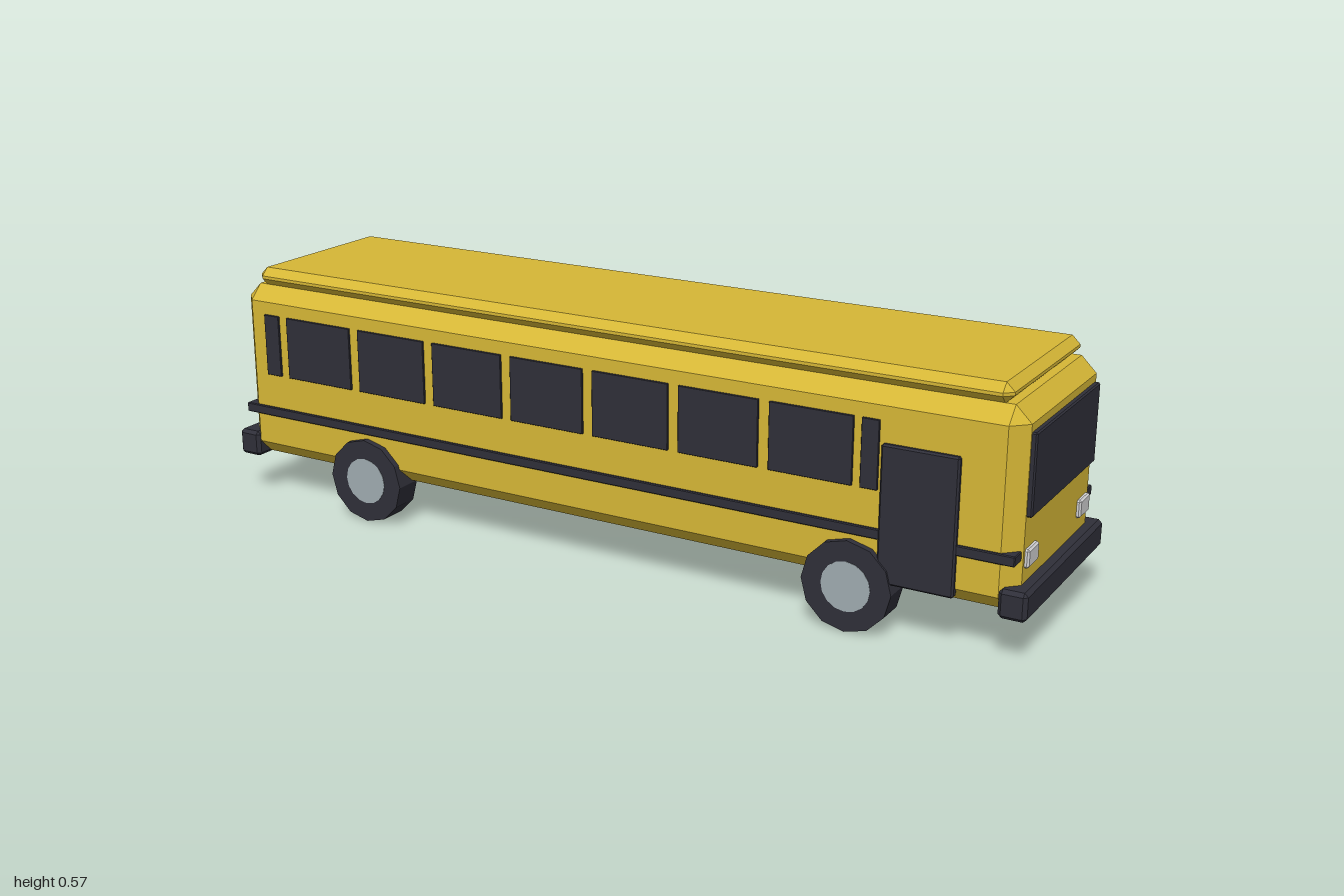
import * as THREE from 'three';
import { ConvexGeometry } from 'three/addons/geometries/ConvexGeometry.js';

const mat = (name, color) => {
  const m = new THREE.MeshStandardMaterial({ color });
  m.name = name;
  return m;
};

// Box with every edge cut off at 45 degrees, given by its min and max corners
function chamferBox(min, max, c) {
  const points = [];
  const mid = min.map((v, i) => (v + max[i]) / 2);
  const half = min.map((v, i) => (max[i] - v) / 2);
  for (const sx of [-1, 1]) for (const sy of [-1, 1]) for (const sz of [-1, 1]) {
    const s = [sx, sy, sz];
    for (let full = 0; full < 3; full++) {
      points.push(new THREE.Vector3(...s.map((sign, i) =>
        mid[i] + sign * (half[i] - (i === full ? 0 : c)))));
    }
  }
  return new ConvexGeometry(points);
}

export function createModel() {
  const yellow = mat('yellow paint', 0xd6b736);
  const dark = mat('dark glass and rubber', 0x2f2f39);
  const silver = mat('wheel silver', 0x9fabb0);
  const white = mat('lamp white', 0xd2d2d4);
  const bus = new THREE.Group();
  bus.name = 'bus';

  const block = (name, material, min, max, c) => {
    const mesh = new THREE.Mesh(chamferBox(min, max, c), material);
    mesh.name = name;
    bus.add(mesh);
  };

  // Shell and raised roof
  block('body', yellow, [-0.973, 0.105, -0.23], [0.973, 0.525, 0.23], 0.034);
  block('roof', yellow, [-0.935, 0.523, -0.212], [0.935, 0.566, 0.212], 0.018);

  // Dark band around the body, proud of the sides and the cut corners
  block('stripe', dark, [-0.97, 0.211, -0.236], [0.97, 0.233, 0.236], 0.002);

  // Windscreen and door
  block('windscreen', dark, [0.96, 0.301, -0.193], [0.984, 0.474, 0.193], 0.003);
  block('door', dark, [0.685, 0.12, 0.22], [0.85, 0.415, 0.24], 0.004);

  // Side windows: seven wide panes with a narrow one at each end
  const panes = [[-0.9, -0.857], [0.64, 0.678]];
  for (let i = 0; i < 7; i++) {
    const x = -0.74 + i * 0.2115;
    panes.push([x - 0.0935, x + 0.0935]);
  }
  for (const side of [-1, 1]) {
    for (const [x0, x1] of panes) {
      const z = side * 0.23;
      block('sideWindow', dark, [x0, 0.314, z - 0.005], [x1, 0.461, z + 0.005], 0.001);
    }
  }

  // Bumpers and lamps at both ends
  for (const end of [-1, 1]) {
    const x = end * 0.97;
    block('bumper', dark, [x - 0.03, 0.099, -0.238], [x + 0.03, 0.161, 0.238], 0.008);
    for (const side of [-1, 1]) {
      const z = side * 0.158;
      block(end > 0 ? 'headlight' : 'rearLamp', end > 0 ? white : yellow,
        [x - 0.012, 0.193, z - 0.03], [x + 0.012, 0.233, z + 0.03], 0.004);
    }
  }

  // Twelve-sided wheels with a hub showing on both faces
  const tyre = new THREE.CylinderGeometry(0.1, 0.1, 0.065, 12).toNonIndexed();
  tyre.computeVertexNormals();
  const hub = new THREE.CylinderGeometry(0.055, 0.055, 0.067, 16);
  for (const x of [-0.608, 0.622]) {
    for (const side of [-1, 1]) {
      const wheel = new THREE.Group();
      wheel.name = 'wheel';
      const parts = [['tyre', tyre, dark], ['hub', hub, silver]];
      for (const [name, geometry, material] of parts) {
        const mesh = new THREE.Mesh(geometry, material);
        mesh.name = name;
        mesh.rotation.x = Math.PI / 2;
        wheel.add(mesh);
      }
      wheel.position.set(x, 0.1, side * 0.2125);
      bus.add(wheel);
    }
  }
  return bus;
}
